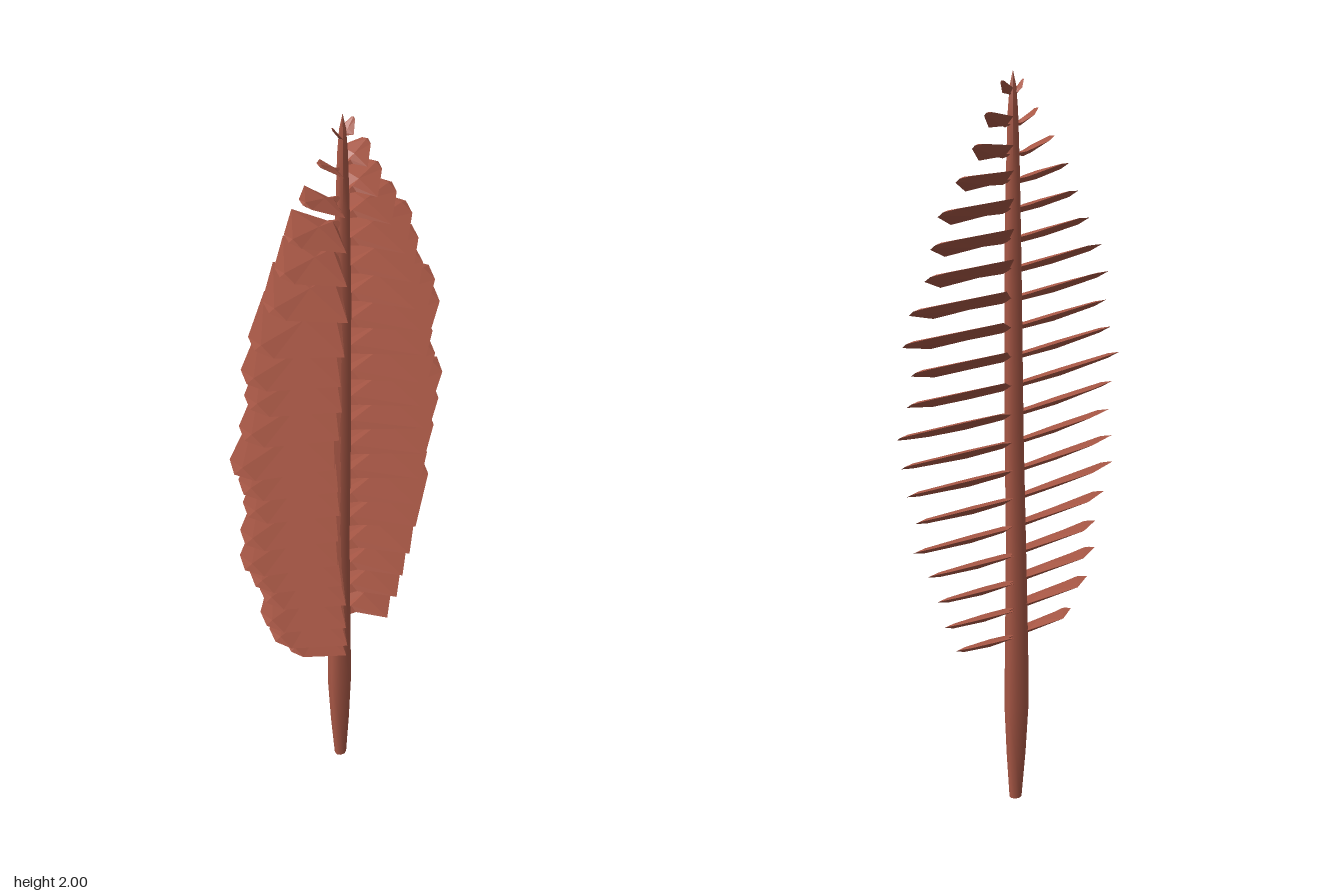
import * as THREE from 'three';
import { toCreasedNormals } from 'three/addons/utils/BufferGeometryUtils.js';

const frondRed = new THREE.MeshStandardMaterial({ color: 0xa95846 });
frondRed.name = 'frondRed';

// Leaflet tips from bottom to top: reach on the model's left (+x) and right (-x)
const FIRST_Y = 0.505, STEP = 0.0774;
const LEFT = [0.214, 0.257, 0.283, 0.315, 0.373, 0.363, 0.394, 0.415, 0.431, 0.39,
  0.373, 0.405, 0.378, 0.315, 0.294, 0.267, 0.204, 0.146, 0.103, 0.045];
const RIGHT = [0.23, 0.295, 0.33, 0.33, 0.37, 0.41, 0.405, 0.39, 0.405, 0.437,
  0.395, 0.37, 0.38, 0.347, 0.29, 0.246, 0.21, 0.156, 0.093, 0.04];
const TILT = 0.4; // rise of the blade from its front edge to its back edge

// Sideways lean of the stalk at a given height
const stalkX = (y) => -0.025 * (1 - THREE.MathUtils.smoothstep(y, 0.15, 1.4));

// Tapered stalk, lathed and then bent towards its foot
function stalkGeometry() {
  const profile = [[0, 0], [0.018, 0], [0.028, 0.13], [0.036, 0.28], [0.034, 0.45], [0.029, 0.75],
    [0.027, 1.05], [0.024, 1.5], [0.019, 1.75], [0.014, 1.9], [0.009, 1.96], [0, 2]];
  const geo = new THREE.LatheGeometry(profile.map(([r, y]) => new THREE.Vector2(r, y)), 8);
  const p = geo.attributes.position;
  for (let i = 0; i < p.count; i++) {
    const y = p.getY(i);
    p.setX(i, p.getX(i) + stalkX(y));
    p.setZ(i, p.getZ(i) * 0.88 + 0.012 * Math.max(0, 1 - y / 0.8));
  }
  return toCreasedNormals(geo, 0.9);
}

// Leaflet blade: diamond cross-sections lofted from the stalk to the tip
function leafletGeometry(reach, tipY, side) {
  const half = Math.min(0.125, 0.4 * reach);
  const thick = Math.min(0.011, 0.05 * reach + 0.002);
  const drop = 0.018 + 0.017 * THREE.MathUtils.smoothstep(tipY, 1.7, 1.85);
  const rootX = side * stalkX(tipY);
  const neck = Math.min(0.04, reach * 0.3);
  // distance out, y offset, half width, half thickness
  const stations = [
    [rootX, -drop, 0, 0],
    [neck, -drop, half * 0.2, thick * 0.8],
    [reach * 0.45, -drop * 0.75, half, thick],
    [reach * 0.93, -0.003, half * 0.32, thick * 0.6],
    [reach, 0, 0, 0],
  ];
  const positions = [];
  for (const [x, dy, w, t] of stations) {
    const y = tipY + dy;
    positions.push(
      side * x, y - w * TILT, w,
      side * x, y + t, 0,
      side * x, y + w * TILT, -w,
      side * x, y - t, 0);
  }
  const index = [];
  const tri = (a, b, c) => (side > 0 ? index.push(a, b, c) : index.push(a, c, b));
  const last = stations.length - 2;
  for (let i = 0; i <= last; i++) {
    for (let j = 0; j < 4; j++) {
      const a = i * 4 + j, b = i * 4 + (j + 1) % 4;
      if (i > 0) tri(a, a + 4, b);
      if (i < last) tri(b, a + 4, b + 4);
    }
  }
  const geo = new THREE.BufferGeometry();
  geo.setAttribute('position', new THREE.Float32BufferAttribute(positions, 3));
  geo.setIndex(index);
  const flat = geo.toNonIndexed();
  flat.computeVertexNormals();
  return flat;
}

export function createModel() {
  const frond = new THREE.Group();
  frond.name = 'frond';

  const stalk = new THREE.Mesh(stalkGeometry(), frondRed);
  stalk.name = 'stalk';
  frond.add(stalk);

  // Two rows of leaflets
  for (const [name, reaches, side] of [['left', LEFT, 1], ['right', RIGHT, -1]]) {
    const row = new THREE.Group();
    row.name = name + 'Leaflets';
    reaches.forEach((reach, i) => {
      const leaflet = new THREE.Mesh(leafletGeometry(reach, FIRST_Y + i * STEP, side), frondRed);
      leaflet.name = name + 'Leaflet' + (i + 1);
      row.add(leaflet);
    });
    frond.add(row);
  }
  return frond;
}
